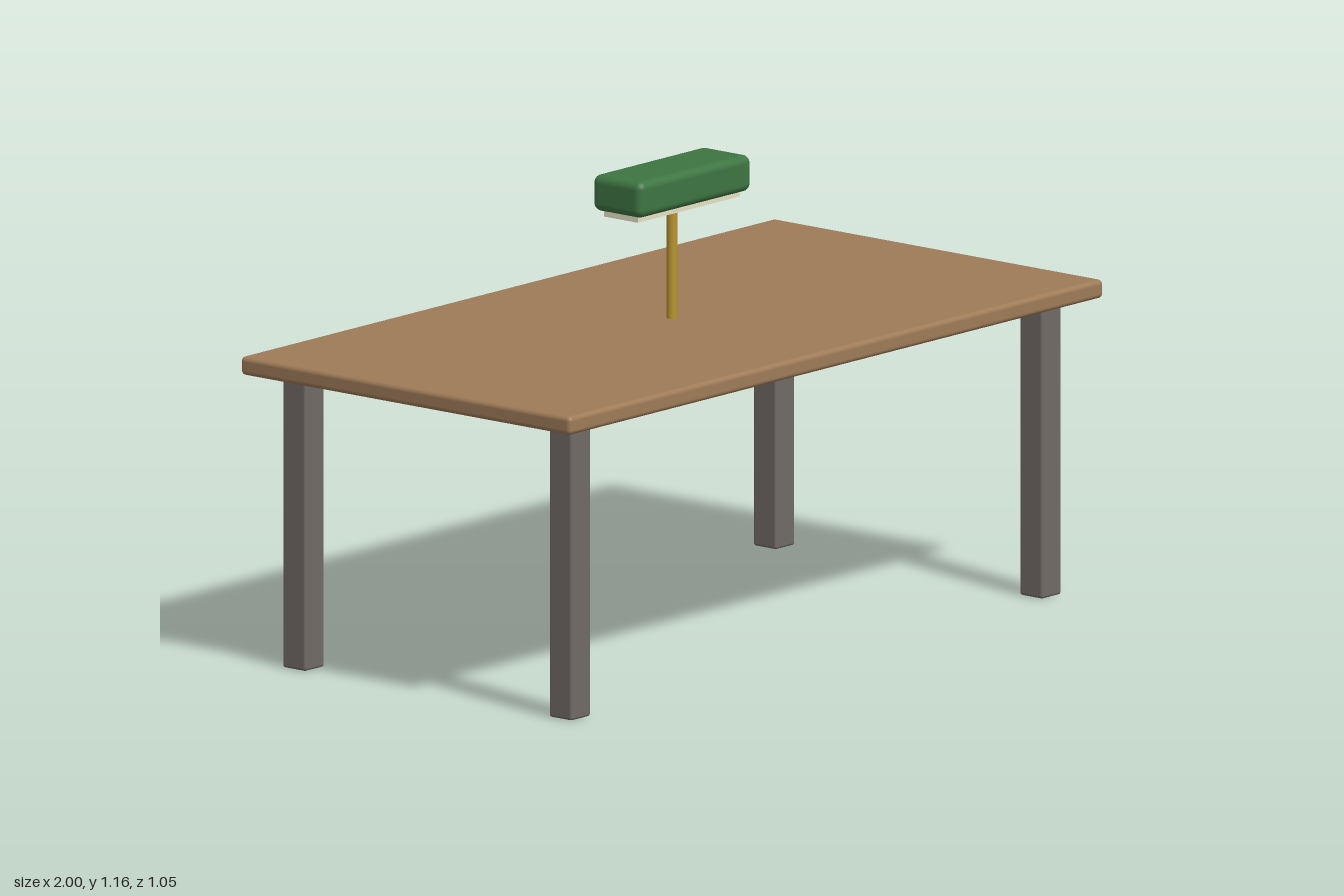
import * as THREE from 'three';
import { RoundedBoxGeometry } from 'three/addons/geometries/RoundedBoxGeometry.js';

const material = (name, color) => {
  const m = new THREE.MeshStandardMaterial({ color });
  m.name = name;
  return m;
};

export function createModel() {
  const wood = material('wood', 0x9e7b58);
  const steel = material('grey steel', 0x716a67);
  const brass = material('brass', 0xb8932f);
  const green = material('green enamel', 0x3e7542);
  const cream = material('cream glass', 0xe6e2c6);

  const model = new THREE.Group();
  model.name = 'deskWithLamp';
  const add = (name, geometry, mat, x, y, z, parent = model) => {
    const mesh = new THREE.Mesh(geometry, mat);
    mesh.name = name;
    mesh.position.set(x, y, z);
    parent.add(mesh);
    return mesh;
  };

  // Table top with softened edges
  add('tableTop', new RoundedBoxGeometry(2, 0.046, 1.046, 4, 0.012), wood, 0, 0.753, 0);

  // Four square legs
  const legGeometry = new RoundedBoxGeometry(0.073, 0.732, 0.073, 3, 0.007);
  for (const [side, sx] of [['Left', 1], ['Right', -1]]) {
    for (const [end, sz] of [['front', 1], ['back', -1]]) {
      add(`${end}${side}Leg`, legGeometry, steel, sx * 0.881, 0.366, sz * 0.422);
    }
  }

  // Lamp: post, glowing panel and rounded shade
  const lamp = new THREE.Group();
  lamp.name = 'lamp';
  model.add(lamp);
  add('lampPost', new THREE.CylinderGeometry(0.013, 0.013, 0.29, 24), brass, 0, 0.915, 0, lamp);
  add('lampPanel', new THREE.BoxGeometry(0.382, 0.02, 0.107), cream, 0, 1.062, 0, lamp);
  add('lampShade', new RoundedBoxGeometry(0.42, 0.09, 0.157, 5, 0.02), green, 0, 1.111, 0, lamp);

  return model;
}
